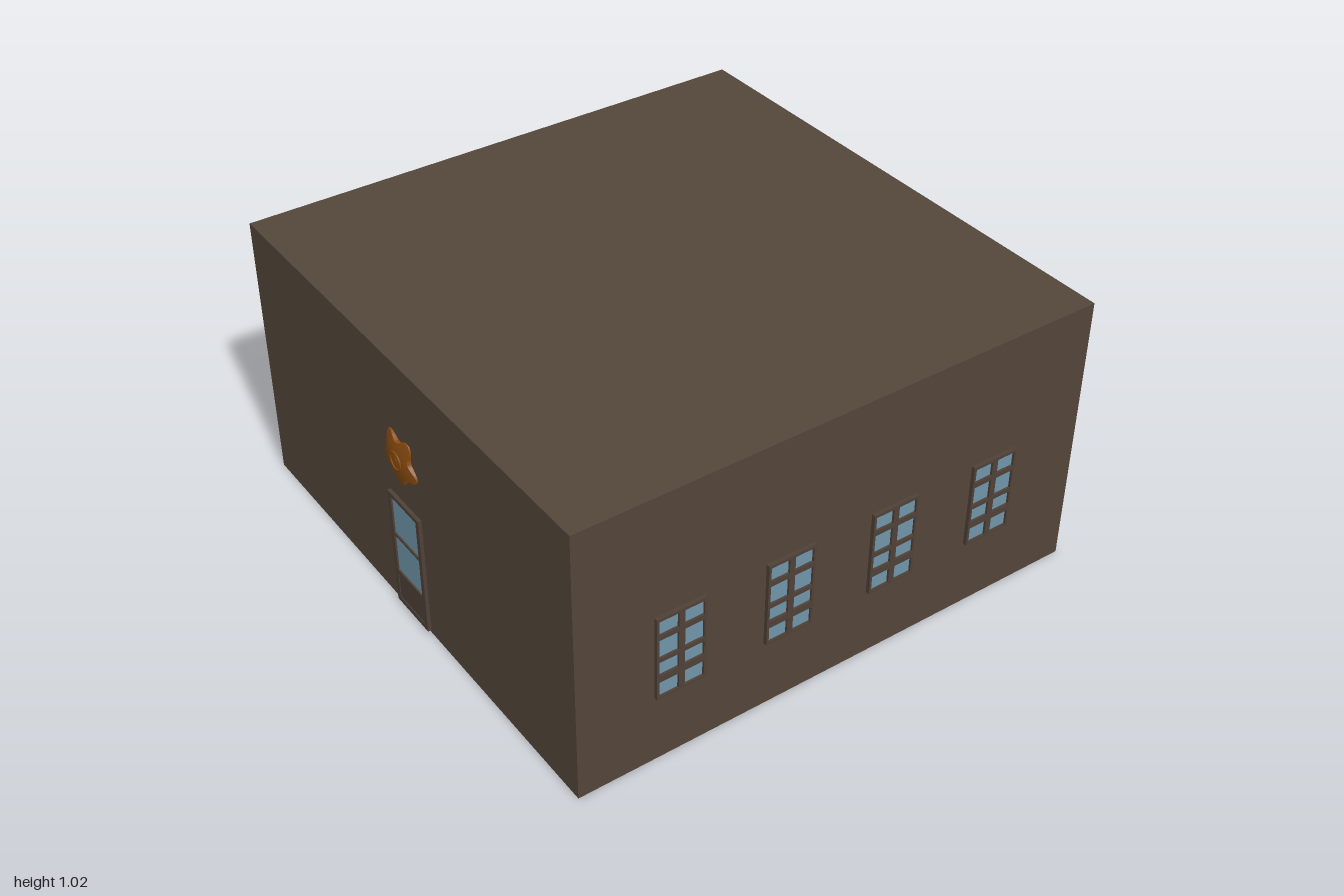
import * as THREE from 'three';
import { toCreasedNormals } from 'three/addons/utils/BufferGeometryUtils.js';

const mat = (name, color) => {
  const m = new THREE.MeshStandardMaterial({ color });
  m.name = name;
  return m;
};

export function createModel() {
  const model = new THREE.Group();
  model.name = 'house';
  const brown = mat('wallBrown', 0x54463a);
  const trim = mat('trimBrown', 0x4f4137);
  const blue = mat('glassBlue', 0x7095a9);
  const copper = mat('badgeCopper', 0x8a4c10);

  const add = (parent, name, geometry, material, x = 0, y = 0, z = 0) => {
    const mesh = new THREE.Mesh(geometry, material);
    mesh.name = name;
    mesh.position.set(x, y, z);
    parent.add(mesh);
    return mesh;
  };

  const trace = (path, x0, y0, x1, y1) => {
    path.moveTo(x0, y0);
    path.lineTo(x1, y0);
    path.lineTo(x1, y1);
    path.lineTo(x0, y1);
    path.closePath();
    return path;
  };

  // Flat frame with rectangular openings, its back on z = 0
  const frameGeometry = (outer, openings, depth) => {
    const shape = trace(new THREE.Shape(), ...outer);
    openings.forEach(o => shape.holes.push(trace(new THREE.Path(), ...o)));
    return new THREE.ExtrudeGeometry(shape, { depth, bevelEnabled: false });
  };

  // Walls and flat roof
  const wall = { left: 0.98, right: -0.985, front: 0.975, back: -0.99 };
  add(model, 'walls', new THREE.BoxGeometry(1.965, 1.025, 1.965), brown, -0.0025, 0.5175, -0.0075);

  // Windows: two columns by four rows of panes
  const panes = [];
  for (const [y0, y1] of [[0.276, 0.334], [0.361, 0.414], [0.43, 0.502], [0.521, 0.575]]) {
    panes.push([-0.081, y0, -0.011, y1], [0.011, y0, 0.081, y1]);
  }
  const windowFrame = frameGeometry([-0.09, 0.266, 0.09, 0.586], panes, 0.014);
  const windowGlass = new THREE.BoxGeometry(0.17, 0.31, 0.006);
  const addWindow = (name, x, z, turn) => {
    const w = new THREE.Group();
    w.name = name;
    w.position.set(x, 0, z);
    w.rotation.y = turn;
    add(w, 'windowFrame', windowFrame, trim);
    add(w, 'windowGlass', windowGlass, blue, 0, 0.426, 0.003);
    model.add(w);
  };
  for (const z of [0.608, 0.2, -0.208, -0.62]) addWindow('leftWindow', wall.left, z, Math.PI / 2);
  for (const z of [0.605, -0.625]) addWindow('rightWindow', wall.right, z, -Math.PI / 2);
  for (const x of [-0.287, 0.303]) addWindow('backWindow', x, wall.back, Math.PI);

  // Door with a two-part glass and a solid lower panel
  const door = new THREE.Group();
  door.name = 'door';
  door.position.z = wall.front;
  model.add(door);
  add(door, 'doorFrame', frameGeometry([-0.1, 0.015, 0.1, 0.48], [
    [-0.081, 0.155, 0.081, 0.306], [-0.081, 0.315, 0.081, 0.465], [-0.081, 0.035, 0.081, 0.14],
  ], 0.013), trim);
  add(door, 'doorGlass', new THREE.BoxGeometry(0.17, 0.32, 0.006), blue, 0, 0.31, 0.004);
  add(door, 'doorPanel', new THREE.BoxGeometry(0.17, 0.115, 0.01), trim, 0, 0.0875, 0.005);

  // Domed five-pointed badge, one point down; the last ring is the rim on the wall
  const rings = 7;
  const star = new THREE.RingGeometry(0.01, 1, 80, rings);
  const p = star.attributes.position;
  for (let i = 0; i < p.count; i++) {
    const ring = Math.floor(i / 81);
    const a = (i % 81) / 80 * Math.PI * 2 - Math.PI / 2;
    const tip = Math.pow((1 + Math.cos(5 * (a + Math.PI / 2))) / 2, 1.3);
    const r = Math.max(0.05, Math.min(1, ring / (rings - 1))) * (0.069 + 0.036 * tip);
    const height = ring === rings ? 0 : 0.004 + 0.019 * (1 - (r / 0.106) ** 2);
    p.setXYZ(i, r * Math.cos(a), r * Math.sin(a), height);
  }
  const badge = new THREE.Group();
  badge.name = 'badge';
  badge.position.set(0, 0.665, wall.front);
  model.add(badge);
  add(badge, 'badgeStar', toCreasedNormals(star, 0.7), copper);
  add(badge, 'badgeRing', new THREE.TorusGeometry(0.031, 0.004, 8, 32), copper, 0, 0, 0.021);
  add(badge, 'badgeCentre', new THREE.CylinderGeometry(0.012, 0.016, 0.004, 24), copper, 0, 0, 0.022)
    .rotation.x = Math.PI / 2;

  return model;
}
